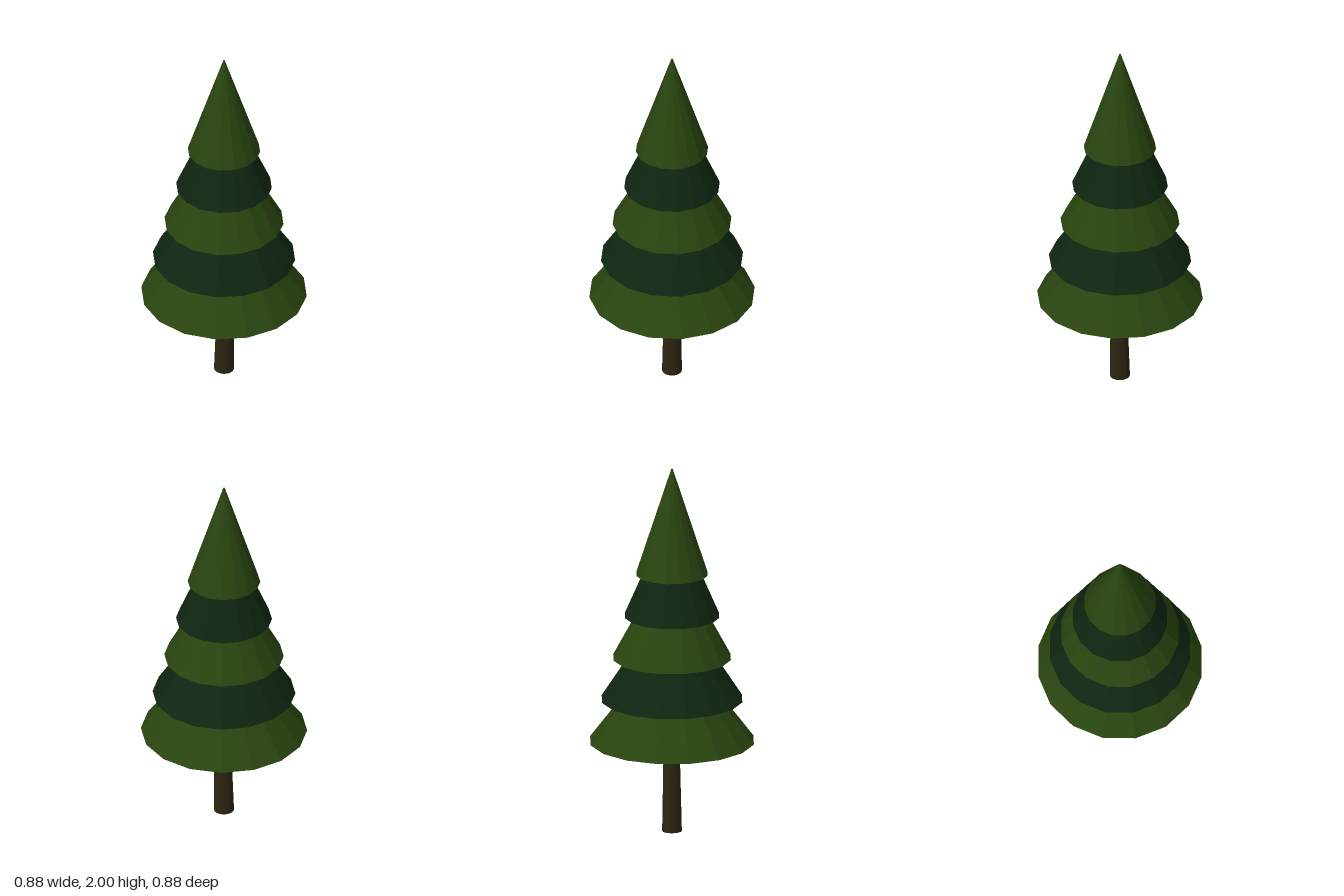
import * as THREE from 'three';

export function createModel() {
  const tree = new THREE.Group();
  tree.name = 'pineTree';

  const material = (name, color) => {
    const m = new THREE.MeshStandardMaterial({ color, flatShading: true });
    m.name = name;
    return m;
  };
  const lightGreen = material('light green', 0x28440f);
  const darkGreen = material('dark green', 0x0e2611);
  const bark = material('bark brown', 0x2b2410);

  // Tapered trunk, leaning very slightly towards +x
  const trunkHeight = 0.62;
  const trunkShape = new THREE.CylinderGeometry(0.04, 0.053, trunkHeight, 16);
  trunkShape.translate(0, trunkHeight / 2, 0);
  const trunk = new THREE.Mesh(trunkShape, bark);
  trunk.name = 'trunk';
  trunk.rotation.z = -0.02;
  trunk.position.y = 0.001;
  tree.add(trunk);

  // Five overlapping cones, alternating in colour and narrowing upwards
  const tiers = 5;
  const height = 0.58;
  for (let i = 0; i < tiers; i++) {
    const radius = 0.44 - i * 0.062;
    const base = 0.5 + i * 0.23;
    const cone = new THREE.CylinderGeometry(0.004, radius, height, 16);
    const tier = new THREE.Mesh(cone, i % 2 ? darkGreen : lightGreen);
    tier.name = `foliageTier${i + 1}`;
    tier.position.y = base + height / 2;
    tree.add(tier);
  }

  return tree;
}
